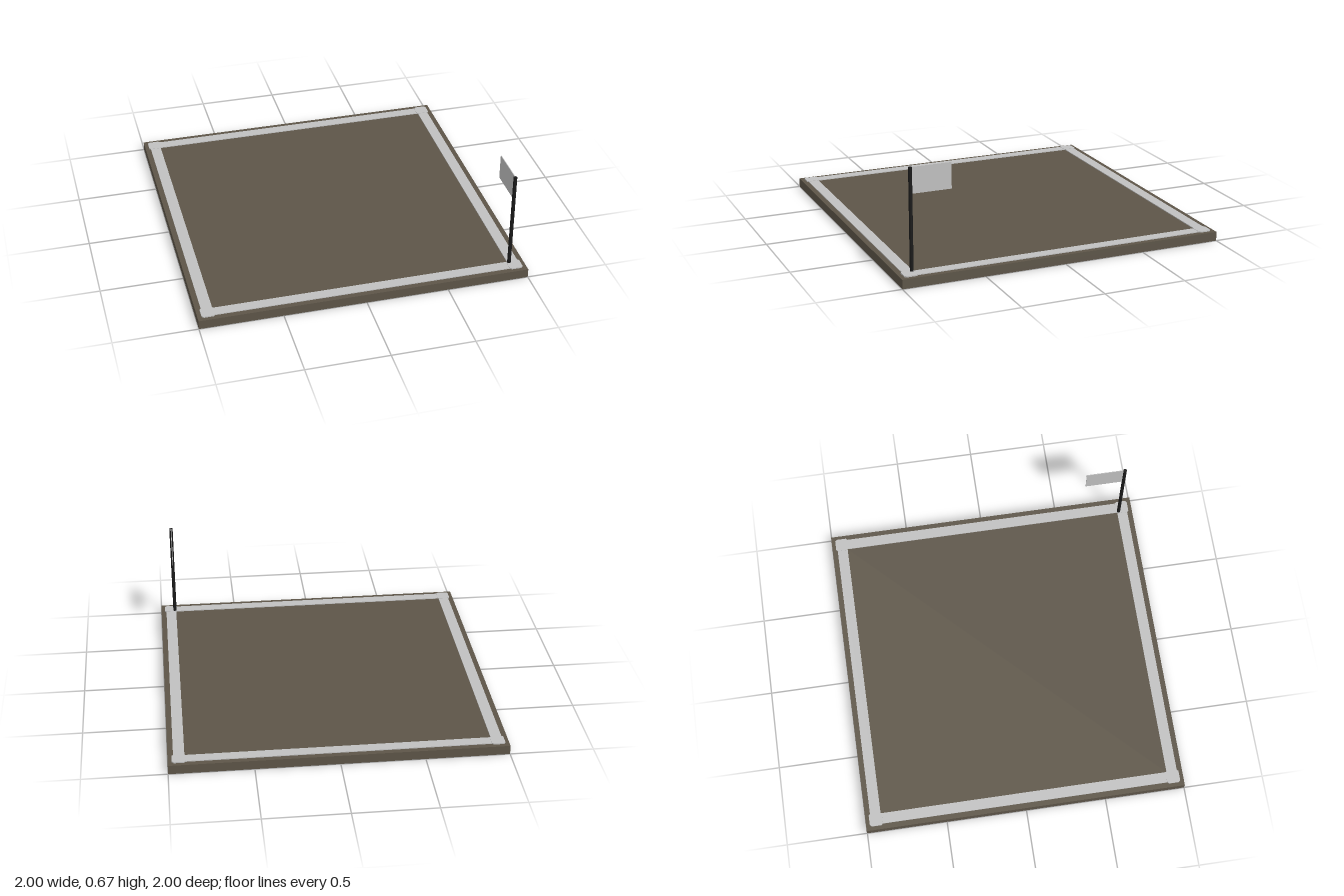
import * as THREE from 'three';

export function createModel() {
  const model = new THREE.Group();
  const mat = (name, color) => new THREE.MeshStandardMaterial({ name, color });
  const earth = mat('earth brown', 0x5d5548);
  const paint = mat('light grey', 0xc0c0c0);
  const dark = mat('near black', 0x1a1a1a);

  const add = (name, geometry, material, x, y, z) => {
    const mesh = new THREE.Mesh(geometry, material);
    mesh.name = name;
    mesh.position.set(x, y, z);
    model.add(mesh);
    return mesh;
  };

  // Ground slab
  const slabTop = 0.056;
  add('slab', new THREE.BoxGeometry(2, slabTop, 2), earth, 0, slabTop / 2, 0);

  // Border strips along the four edges
  const inset = 0.934, stripWidth = 0.066, stripHeight = 0.005;
  for (const side of [-1, 1]) {
    const y = slabTop + stripHeight / 2;
    add('borderStrip', new THREE.BoxGeometry(inset * 2, stripHeight, stripWidth), paint, 0, y, side * inset);
    add('borderStrip', new THREE.BoxGeometry(stripWidth, stripHeight, inset * 2), paint, side * inset, y, 0);
  }

  // Corner pads with chamfered corners
  const h = 0.041, c = 0.03;
  const outline = new THREE.Shape([
    [h, -c], [h, c], [c, h], [-c, h], [-h, c], [-h, -c], [-c, -h], [c, -h],
  ].map(([x, y]) => new THREE.Vector2(x, y)));
  const pad = new THREE.ExtrudeGeometry(outline, { depth: 0.007, bevelEnabled: false });
  pad.rotateX(-Math.PI / 2);
  for (const sx of [-1, 1]) {
    for (const sz of [-1, 1]) add('cornerPad', pad, paint, sx * 0.935, slabTop, sz * 0.935);
  }

  // Flagpole and flag at the front left corner
  const poleX = 0.909, poleZ = 0.911, top = 0.672;
  const poleHeight = top - slabTop;
  add('flagpole', new THREE.CylinderGeometry(0.011, 0.011, poleHeight, 12), dark, poleX, slabTop + poleHeight / 2, poleZ);
  add('flag', new THREE.BoxGeometry(0.004, 0.155, 0.244), paint, poleX, top - 0.0775, poleZ - 0.122);

  return model;
}
